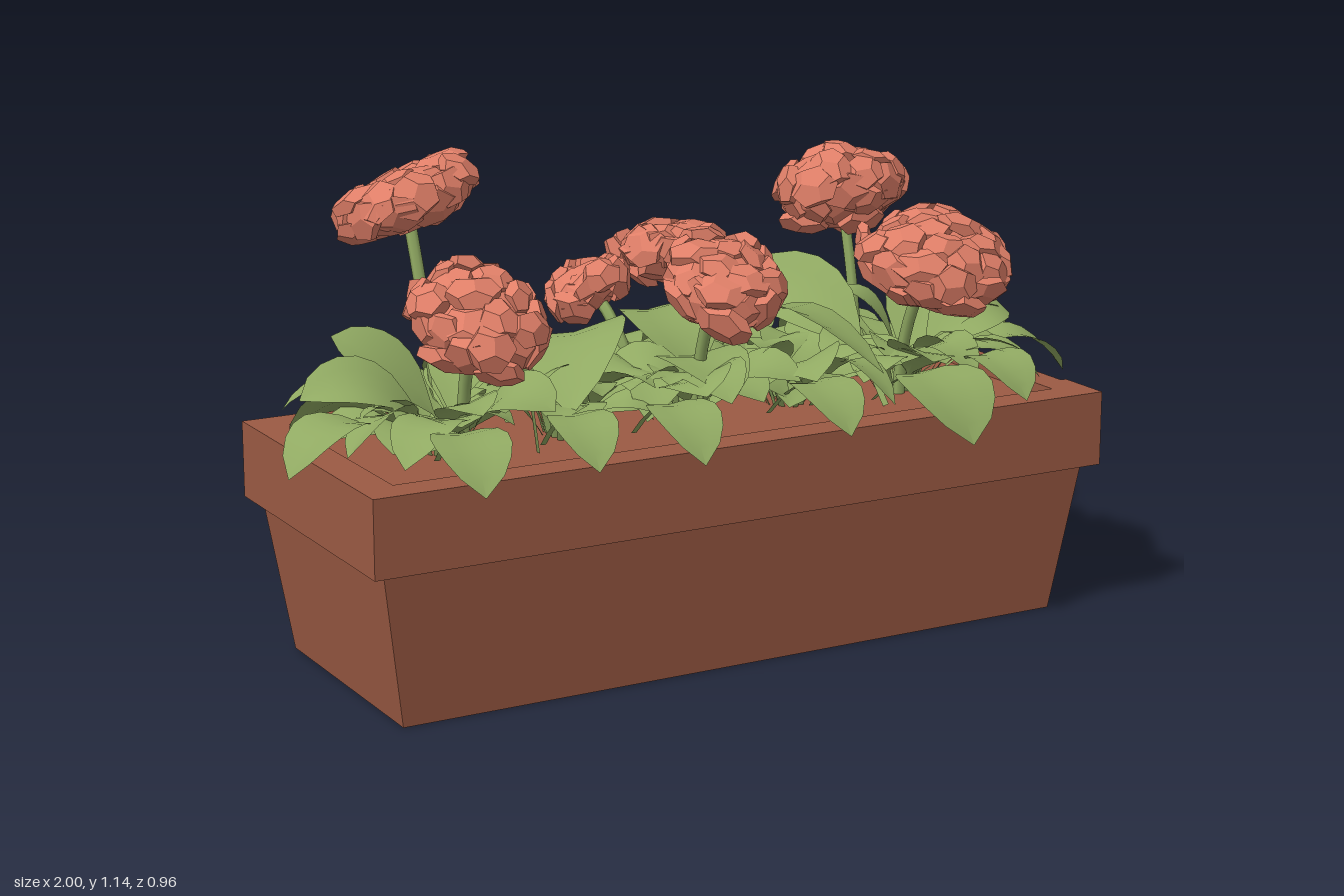
import * as THREE from 'three';
import { mergeGeometries } from 'three/addons/utils/BufferGeometryUtils.js';

const terracotta = new THREE.MeshStandardMaterial({ color: 0x9b5a43 });
terracotta.name = 'terracotta';
const leafGreen = new THREE.MeshStandardMaterial({ color: 0x90a962, side: THREE.DoubleSide });
leafGreen.name = 'leaf green';
const coral = new THREE.MeshStandardMaterial({ color: 0xe07f68 });
coral.name = 'coral';

// Seeded random numbers
let seed = 7;
const rand = () => {
  seed = (seed * 16807) % 2147483647;
  return seed / 2147483647;
};
const range = (a, b) => a + (b - a) * rand();
const V = (x, y, z) => new THREE.Vector3(x, y, z);

function addMesh(parent, name, geometry, material) {
  const mesh = new THREE.Mesh(geometry, material);
  mesh.name = name;
  parent.add(mesh);
  return mesh;
}

// Tapered tub, stepped rim with an open middle, and soil
function makePlanter() {
  const planter = new THREE.Group();
  planter.name = 'planter';

  const tub = new THREE.BoxGeometry(1.78, 0.36, 0.67).translate(0, 0.18, 0.025);
  const p = tub.attributes.position;
  for (let i = 0; i < p.count; i++) {
    if (p.getY(i) < 0.01) p.setXYZ(i, Math.sign(p.getX(i)) * 0.835, 0, p.getZ(i) > 0 ? 0.32 : -0.275);
  }
  tub.computeVertexNormals();
  addMesh(planter, 'tub', tub, terracotta);

  // Outline drawn as (x, -z); the right end is slightly recessed between its corners
  const outline = [[-0.92, -0.385], [0.925, -0.385], [0.925, -0.245], [0.91, -0.245],
    [0.91, 0.285], [0.925, 0.285], [0.925, 0.34], [-0.92, 0.34]];
  const shape = new THREE.Shape(outline.map(([x, y]) => new THREE.Vector2(x, y)));
  const hole = [[-0.84, -0.305], [-0.84, 0.26], [0.84, 0.26], [0.84, -0.305]];
  shape.holes.push(new THREE.Path(hole.map(([x, y]) => new THREE.Vector2(x, y))));
  const rim = new THREE.ExtrudeGeometry(shape, { depth: 0.175, bevelEnabled: false });
  addMesh(planter, 'rim', rim.rotateX(-Math.PI / 2).translate(0, 0.355, 0), terracotta);

  addMesh(planter, 'soil', new THREE.BoxGeometry(1.7, 0.15, 0.58).translate(0, 0.43, 0.022), terracotta);
  return planter;
}

// Oval leaf swept along a curve, with a narrow stalk and a shallow fold
function leaf(base, control, tip, halfWidth, roll = 0, stalk = 0.32) {
  const curve = new THREE.QuadraticBezierCurve3(base, control, tip);
  const rows = 10, cols = 4, pos = [], index = [];
  for (let i = 0; i <= rows; i++) {
    const t = i / rows;
    const s = Math.max(0, (t - stalk) / (1 - stalk));
    const oval = Math.pow(Math.max(0, Math.sin(Math.PI * Math.pow(s, 0.9))), 0.65);
    const w = Math.max(t < 1 ? 0.007 : 0.001, halfWidth * oval);
    const point = curve.getPoint(t), tangent = curve.getTangent(t);
    const side = V(-tangent.z, 0, tangent.x).normalize().applyAxisAngle(tangent, roll);
    const normal = V().crossVectors(tangent, side).normalize();
    if (normal.y < 0) normal.negate();
    for (let j = 0; j <= cols; j++) {
      const u = (j / cols) * 2 - 1;
      const q = point.clone().addScaledVector(side, u * w).addScaledVector(normal, 0.13 * w * Math.abs(u));
      pos.push(q.x, q.y, q.z);
      if (i < rows && j < cols) {
        const a = i * (cols + 1) + j, b = a + cols + 1;
        index.push(a, a + 1, b, a + 1, b + 1, b);
      }
    }
  }
  const g = new THREE.BufferGeometry();
  g.setAttribute('position', new THREE.Float32BufferAttribute(pos, 3));
  g.setIndex(index);
  g.computeVertexNormals();
  return g;
}

// Leaves that arch over the rim: tip x, y, z, half width and roll
function makeRimLeaves() {
  const tips = [
    [-0.7, 0.52, 0.46, 0.085], [-0.42, 0.53, 0.43, 0.075], [-0.18, 0.52, 0.46, 0.08],
    [0.2, 0.53, 0.44, 0.08], [0.5, 0.48, 0.48, 0.12], [0.7, 0.54, 0.4, 0.08],
    [-0.62, 0.48, -0.48, 0.085], [-0.4, 0.53, -0.42, 0.08], [-0.2, 0.5, -0.46, 0.08],
    [0.01, 0.54, -0.42, 0.075], [0.2, 0.5, -0.46, 0.08], [0.38, 0.54, -0.42, 0.08],
    [0.62, 0.48, -0.48, 0.085], [-1, 0.52, 0.13, 0.085], [-0.92, 0.54, -0.07, 0.09, 0.6],
    [-0.8, 0.55, 0.28, 0.075], [1, 0.52, 0.13, 0.085], [0.92, 0.55, -0.04, 0.09, -0.6],
    [0.83, 0.55, 0.27, 0.075], [0.88, 0.58, -0.18, 0.06], [-0.88, 0.58, -0.2, 0.06],
  ];
  return tips.map(([x, y, z, w, roll]) => {
    const atEnd = Math.abs(x) > 0.75;
    const base = V(x * (atEnd ? 0.68 : 0.93), 0.51, z * (atEnd ? 0.3 : 0.25));
    const control = V(base.x + (x - base.x) * 0.62, 0.72, base.z + (z - base.z) * 0.65);
    return leaf(base, control, V(x, y, z), w, roll);
  });
}

// Large raised leaves: base x, z; control x, y, z; tip x, y, z; half width, roll
function makeTallLeaves() {
  const rows = [
    [-0.2, -0.16, -0.22, 0.9, -0.04, -0.4, 0.61, 0.26, 0.12, 0.2],
    [0.16, -0.16, 0.22, 0.9, -0.04, 0.4, 0.61, 0.26, 0.12, -0.2],
    [-0.43, 0.16, -0.39, 0.84, -0.02, -0.27, 0.72, -0.29, 0.09, 0.85],
    [0.46, 0.18, 0.42, 0.84, -0.02, 0.3, 0.72, -0.28, 0.09, -0.85],
    [0, 0.14, 0, 0.82, 0.05, 0, 0.7, -0.2, 0.11, 0],
    [0, -0.1, 0, 0.76, 0.06, 0.01, 0.6, 0.26, 0.11, 0],
    [-0.56, 0.02, -0.68, 0.72, -0.02, -0.8, 0.76, -0.1, 0.09, -0.4],
    [0.58, 0.02, 0.68, 0.72, -0.02, 0.81, 0.77, -0.1, 0.09, 0.4],
    [-0.6, 0.05, -0.75, 0.76, 0.05, -0.93, 0.66, 0.03, 0.08, -0.5],
    [0.6, 0.05, 0.75, 0.74, 0.05, 0.91, 0.65, 0.03, 0.08, 0.5],
    [-0.6, 0.05, -0.55, 0.75, 0.02, -0.47, 0.74, -0.06, 0.08, 0],
    [0.6, 0.05, 0.55, 0.75, 0.02, 0.47, 0.74, -0.04, 0.08, 0],
  ];
  return rows.map(([bx, bz, cx, cy, cz, tx, ty, tz, w, roll]) =>
    leaf(V(bx, 0.51, bz), V(cx, cy, cz), V(tx, ty, tz), w, roll, 0.25));
}

// Smaller leaves filling the middle of each plant
function makeFillLeaves(cx) {
  const list = [];
  for (let i = 0; i < 24; i++) {
    const a = i * 2.4 + cx, reach = range(0.14, 0.31);
    const dx = Math.cos(a) * reach, dz = Math.sin(a) * reach;
    const base = V(cx + dx * 0.2, 0.5, 0.02 + dz * 0.2);
    const control = V(cx + dx * 0.5, range(0.6, 0.74), 0.02 + dz * 0.5);
    list.push(leaf(base, control, V(cx + dx, range(0.54, 0.64), 0.02 + dz), range(0.06, 0.09), range(-0.4, 0.4), 0.25));
  }
  return list;
}

// Flower head: broad chunky petals spread over an ellipsoid
function flowerHead(rx, ry, rz) {
  const parts = [new THREE.IcosahedronGeometry(1, 1).scale(rx * 0.8, ry * 0.75, rz * 0.8)];
  const count = Math.round(1000 * rx * rz) + 10;
  for (let i = 0; i < count; i++) {
    const h = 1 - (2 * (i + 0.5)) / count, r = Math.sqrt(1 - h * h), a = i * 2.39996 + rx * 20;
    const d = V(Math.cos(a) * r, h, Math.sin(a) * r);
    // Petals lie flat on the surface with a little random lean
    const facing = V(d.x / rx, d.y / ry, d.z / rz).normalize();
    facing.add(V(range(-0.3, 0.3), range(-0.3, 0.3), range(-0.3, 0.3))).normalize();
    const petal = new THREE.DodecahedronGeometry(1, 0).rotateZ(range(0, 6));
    petal.scale(range(0.05, 0.07), range(0.042, 0.058), range(0.02, 0.03));
    petal.applyQuaternion(new THREE.Quaternion().setFromUnitVectors(V(0, 0, 1), facing));
    const inset = range(0.01, 0.038);
    petal.translate(d.x * (rx - inset), d.y * (ry - inset), d.z * (rz - inset));
    parts.push(petal);
  }
  return mergeGeometries(parts);
}

// Head centre, radii, tilt about x and z, and stem foot
const flowers = [
  { c: [-0.58, 1.03, -0.18], r: [0.175, 0.072, 0.155], tilt: [-0.25, 0.3], foot: [-0.55, -0.08] },
  { c: [-0.595, 0.84, 0.22], r: [0.15, 0.09, 0.165], tilt: [0.5, 0], foot: [-0.58, 0.1] },
  { c: [-0.005, 0.86, 0.225], r: [0.14, 0.085, 0.15], tilt: [0.5, 0], foot: [0, 0.1] },
  { c: [0.13, 0.83, -0.25], r: [0.14, 0.072, 0.125], tilt: [-0.3, -0.15], foot: [0.08, -0.1] },
  { c: [-0.1, 0.775, -0.23], r: [0.105, 0.058, 0.1], tilt: [-0.2, 0.3], foot: [-0.04, -0.1] },
  { c: [0.565, 0.85, 0.22], r: [0.18, 0.105, 0.175], tilt: [0.35, 0], foot: [0.56, 0.08] },
  { c: [0.57, 0.95, -0.205], r: [0.165, 0.1, 0.145], tilt: [-0.4, 0], foot: [0.57, -0.12] },
];

export function createModel() {
  const model = new THREE.Group();
  model.name = 'flowerPlanter';
  model.add(makePlanter());

  const foliage = new THREE.Group();
  foliage.name = 'foliage';
  model.add(foliage);
  addMesh(foliage, 'rimLeaves', mergeGeometries(makeRimLeaves()), leafGreen);
  addMesh(foliage, 'tallLeaves', mergeGeometries(makeTallLeaves()), leafGreen);
  for (const x of [-0.6, -0.3, 0, 0.3, 0.6]) {
    addMesh(foliage, 'fillLeaves', mergeGeometries(makeFillLeaves(x)), leafGreen);
  }

  for (const { c, r, tilt, foot } of flowers) {
    const flower = new THREE.Group();
    flower.name = 'flower';
    const head = addMesh(flower, 'flowerHead', flowerHead(...r), coral);
    head.position.set(...c);
    head.rotation.set(tilt[0], 0, tilt[1]);
    const path = new THREE.QuadraticBezierCurve3(
      V(foot[0], 0.5, foot[1]), V((foot[0] + c[0]) / 2, 0.7, foot[1]), V(...c));
    addMesh(flower, 'stem', new THREE.TubeGeometry(path, 8, 0.014, 6), leafGreen);
    model.add(flower);
  }
  return model;
}
